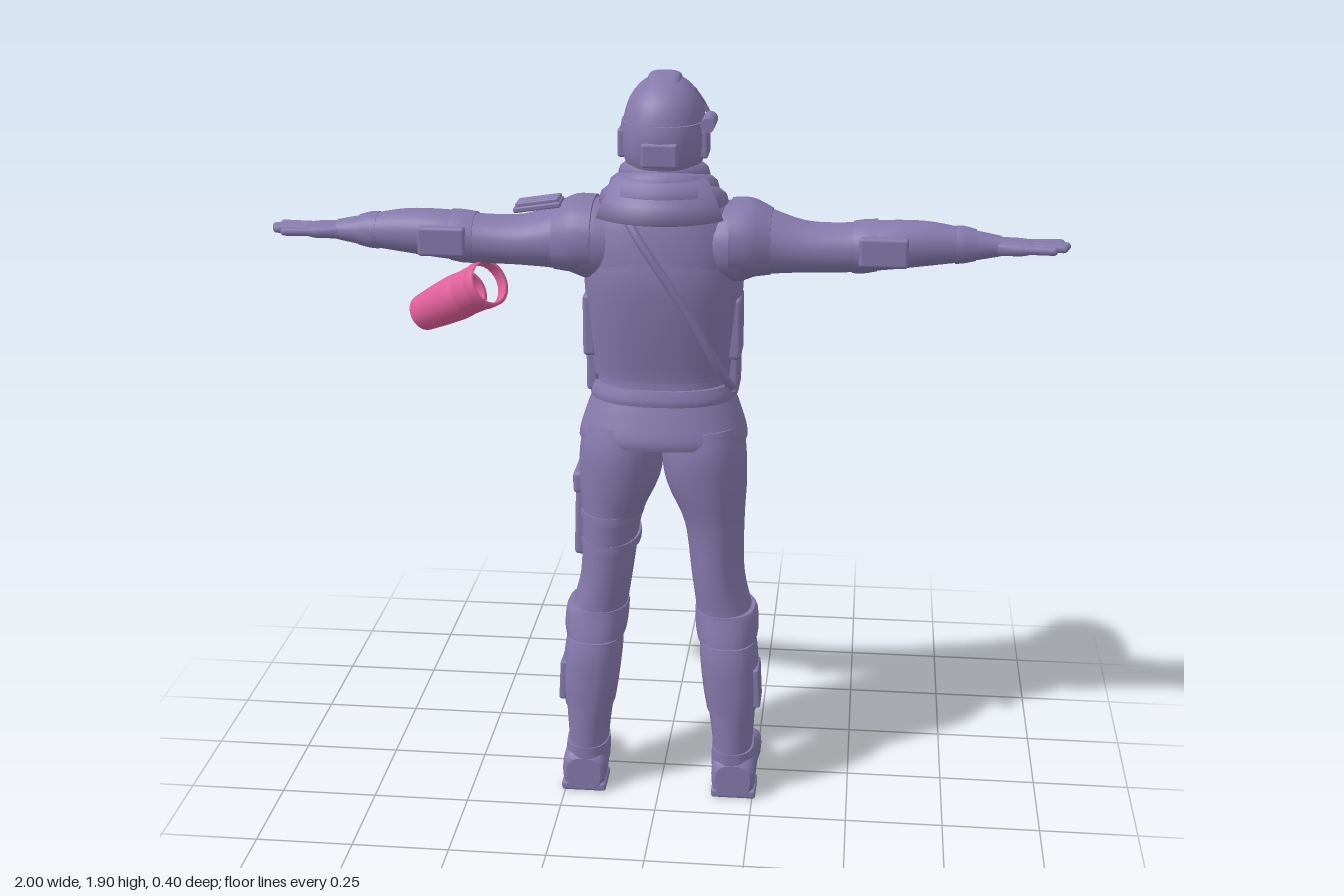
import * as THREE from 'three';
import { mergeVertices } from 'three/addons/utils/BufferGeometryUtils.js';
import { RoundedBoxGeometry } from 'three/addons/geometries/RoundedBoxGeometry.js';

const V = (x, y, z) => new THREE.Vector3(x, y, z);

// Smooth capped loft along an axis. Rows: [along, centreU, centreV, radiusU, radiusV];
// U,V are x,z for axis y; y,z for axis x; x,y for axis z. Rows run in rising order.
function loft(axis, rows, p = 2.2, n = 28, steps = 4) {
  const sections = [];
  for (let i = 0; i < rows.length - 1; i++) {
    const [a, b, c, d] = [-1, 0, 1, 2].map(k => rows[Math.min(Math.max(i + k, 0), rows.length - 1)]);
    for (let s = 0; s < steps; s++) {
      const t = s / steps;
      sections.push(b.map((q, k) => {
        const m0 = (c[k] - a[k]) / 2, m1 = (d[k] - q) / 2;
        return q + m0 * t + (3 * (c[k] - q) - 2 * m0 - m1) * t * t + (2 * (q - c[k]) + m0 + m1) * t * t * t;
      }));
    }
  }
  sections.push(rows[rows.length - 1]);
  const pos = [], idx = [];
  const put = (t, u, v) => pos.push(...(axis === 'y' ? [u, t, v] : axis === 'x' ? [t, u, v] : [u, v, t]));
  const pow = c => Math.sign(c) * Math.abs(c) ** (2 / p);
  const ring = ([t, cu, cv, ru, rv]) => {
    for (let i = 0; i < n; i++) {
      const a = i / n * Math.PI * 2, c = pow(Math.cos(a)), s = pow(Math.sin(a));
      if (axis === 'y') put(t, cu + ru * s, cv + rv * c);
      else put(t, cu + ru * c, cv + rv * s);
    }
  };
  sections.forEach(ring);
  for (let j = 0; j < sections.length - 1; j++) for (let i = 0; i < n; i++) {
    const a = j * n + i, b = j * n + (i + 1) % n;
    idx.push(a, b, b + n, a, b + n, a + n);
  }
  for (const end of [0, 1]) {
    const s = sections[end ? sections.length - 1 : 0], base = pos.length / 3;
    ring(s);
    put(s[0], s[1], s[2]);
    for (let i = 0; i < n; i++) {
      const a = base + i, b = base + (i + 1) % n;
      idx.push(...(end ? [a, b, base + n] : [b, a, base + n]));
    }
  }
  const g = new THREE.BufferGeometry();
  g.setAttribute('position', new THREE.Float32BufferAttribute(pos, 3));
  g.setIndex(idx);
  g.computeVertexNormals();
  return g;
}

// Mirror a geometry across x, keeping faces outward
function mirror(geo) {
  const g = geo.index ? geo.clone() : mergeVertices(geo);
  g.scale(-1, 1, 1);
  const a = g.index.array;
  for (let i = 0; i < a.length; i += 3) [a[i], a[i + 1]] = [a[i + 1], a[i]];
  return g;
}

const box = (w, h, d, x, y, z, rx = 0, ry = 0, rz = 0) =>
  new RoundedBoxGeometry(w, h, d, 2, Math.min(w, h, d) * 0.3)
    .rotateX(rx).rotateY(ry).rotateZ(rz).translate(x, y, z);
const tube = (pts, r, closed = false) =>
  new THREE.TubeGeometry(new THREE.CatmullRomCurve3(pts, closed), 40, r, 8, closed);
const arc = (profile, start, length, sx = 1) =>
  new THREE.LatheGeometry(profile.map(q => new THREE.Vector2(...q)), 24, start, length).scale(sx, 1, 1);
// Rounded finger between two points
function finger(a, b, r) {
  const d = b.clone().sub(a), g = new THREE.CapsuleGeometry(r, d.length(), 4, 10);
  g.applyQuaternion(new THREE.Quaternion().setFromUnitVectors(V(0, 1, 0), d.clone().normalize()));
  return g.translate((a.x + b.x) / 2, (a.y + b.y) / 2, (a.z + b.z) / 2);
}

export function createModel() {
  const model = new THREE.Group();
  const suit = new THREE.MeshStandardMaterial({ color: 0x8579ab, side: THREE.DoubleSide });
  suit.name = 'dusty purple';
  const pink = new THREE.MeshStandardMaterial({ color: 0xe0609a, side: THREE.DoubleSide });
  pink.name = 'pink';
  const add = (name, geo, mat = suit, parent = model) => {
    const m = new THREE.Mesh(geo, mat);
    m.name = name;
    parent.add(m);
    return m;
  };
  const pair = (name, geo) => {
    add(name + 'Left', geo);
    add(name + 'Right', mirror(geo));
  };

  // Jacket with flared hem, and the vest over it
  add('jacket', loft('y', [
    [0.975, 0, 0.02, 0.216, 0.153], [1.0, 0, 0.02, 0.212, 0.155], [1.06, 0, 0.013, 0.192, 0.143],
    [1.12, 0, 0.008, 0.17, 0.13], [1.2, 0, 0, 0.178, 0.138], [1.3, 0, 0.002, 0.188, 0.157],
    [1.42, 0, 0.003, 0.198, 0.166], [1.5, 0, 0.012, 0.195, 0.15], [1.57, 0, 0.02, 0.165, 0.125],
    [1.63, 0, 0.01, 0.105, 0.1], [1.68, 0, 0, 0.075, 0.08]], 2.4, 40));
  add('vest', loft('y', [
    [1.145, 0, 0, 0.181, 0.14], [1.18, 0, 0, 0.184, 0.144], [1.3, 0, 0.002, 0.194, 0.162],
    [1.4, 0, 0.003, 0.2, 0.17], [1.47, 0, 0.008, 0.19, 0.158]], 2.4, 40));
  add('belt', loft('y', [[1.085, 0, 0.01, 0.186, 0.142], [1.1, 0, 0.01, 0.186, 0.143], [1.125, 0, 0.008, 0.178, 0.138]], 2.4, 40));
  add('chestStrap', tube([V(-0.07, 1.55, 0.147), V(0.07, 1.34, 0.166), V(0.175, 1.13, 0.09), V(0.16, 1.14, -0.09),
    V(0.04, 1.36, -0.164), V(-0.08, 1.52, -0.125), V(-0.11, 1.6, 0.02)], 0.011, true));

  // Pouches on chest, flanks and hip
  for (let i = 0; i < 3; i++) {
    const x = 0.13 - i * 0.06;
    add('chestPouch', box(0.05, 0.16, 0.045, x, 1.27, -0.158 + x * 0.15, -0.13, -0.25));
    add('chestPouchFlap', box(0.054, 0.045, 0.05, x, 1.34, -0.169 + x * 0.15, -0.13, -0.25));
  }
  pair('flankPouch', box(0.035, 0.16, 0.11, 0.182, 1.27, 0.02));
  pair('hipPouch', box(0.03, 0.1, 0.12, 0.178, 1.145, 0.0));
  add('frontPouch', box(0.16, 0.07, 0.03, 0, 1.07, -0.13));

  // Scarf rolls and the pointed fold at the back
  const roll = (R, r, y, z, tilt) => new THREE.TorusGeometry(R, r, 10, 36)
    .rotateX(Math.PI / 2).scale(1, 1.1, 1).rotateX(tilt).translate(0, y, z);
  add('scarfLower', roll(0.128, 0.034, 1.58, 0.015, -0.3));
  add('scarfMiddle', roll(0.108, 0.03, 1.615, 0.01, -0.24));
  add('scarfUpper', roll(0.088, 0.026, 1.65, 0.005, -0.18));
  add('scarfBackFold', arc([[0.1, 1.665], [0.15, 1.65], [0.18, 1.6], [0.2, 1.56], [0.16, 1.55]], -0.9, 1.8));

  // Helmet: dome, jaw, brim, visor, ear gear
  add('helmetDome', loft('y', [
    [1.655, 0, 0.01, 0.082, 0.095], [1.7, 0, 0.005, 0.1, 0.117], [1.76, 0, 0.0, 0.103, 0.126],
    [1.82, 0, -0.005, 0.092, 0.116], [1.86, 0, -0.01, 0.068, 0.088],
    [1.884, 0, -0.012, 0.036, 0.048], [1.893, 0, -0.012, 0.002, 0.003]], 2.2, 32));
  add('helmetJaw', loft('y', [
    [1.615, 0, -0.075, 0.05, 0.065], [1.65, 0, -0.062, 0.076, 0.085], [1.7, 0, -0.05, 0.094, 0.095],
    [1.725, 0, -0.05, 0.096, 0.092]], 2.4));
  add('visor', arc([[0.13, 1.71], [0.15, 1.715], [0.158, 1.755], [0.145, 1.8]], Math.PI - 0.85, 1.7, 0.78));
  add('helmetBrim', arc([[0.085, 1.868], [0.125, 1.845], [0.16, 1.81], [0.183, 1.782], [0.175, 1.778], [0.11, 1.81]],
    Math.PI - 0.9, 1.8, 0.72));
  add('helmetRidge', loft('z', [[-0.09, 0, 1.845, 0.032, 0.018], [-0.04, 0, 1.875, 0.04, 0.02],
    [0.02, 0, 1.872, 0.04, 0.02], [0.09, 0, 1.82, 0.032, 0.02]], 3));
  add('helmetBand', loft('y', [[1.765, 0, 0.004, 0.106, 0.13], [1.785, 0, 0.003, 0.104, 0.127]], 2.2, 32, 1));
  pair('earCup', box(0.022, 0.07, 0.085, 0.1, 1.73, 0.01));
  add('headLamp', new THREE.CylinderGeometry(0.018, 0.018, 0.1, 14).rotateX(Math.PI / 2).translate(0.112, 1.782, 0.03));
  add('rearHelmetPad', box(0.09, 0.06, 0.025, 0, 1.715, 0.117));
  pair('mouthVent', box(0.03, 0.035, 0.02, 0.035, 1.665, -0.137, 0, -0.3));

  // Arms, pads and cuffs
  pair('arm', loft('x', [
    [0.1, 1.48, 0.02, 0.09, 0.11], [0.18, 1.485, 0.02, 0.1, 0.122], [0.25, 1.488, 0.02, 0.082, 0.105],
    [0.35, 1.477, 0.025, 0.062, 0.085], [0.45, 1.478, 0.03, 0.06, 0.073], [0.55, 1.488, 0.035, 0.06, 0.07],
    [0.65, 1.493, 0.03, 0.054, 0.06], [0.75, 1.489, 0.02, 0.039, 0.047], [0.83, 1.487, 0.012, 0.024, 0.036]]));
  pair('shoulderPad', loft('x', [[0.17, 1.497, 0.025, 0.094, 0.125], [0.22, 1.497, 0.025, 0.094, 0.12],
    [0.27, 1.488, 0.024, 0.08, 0.1]], 2.3));
  pair('elbowPad', box(0.12, 0.075, 0.03, 0.545, 1.485, 0.1));
  pair('foldedSleeve', loft('x', [[0.47, 1.48, 0.031, 0.063, 0.076], [0.5, 1.483, 0.033, 0.065, 0.077],
    [0.53, 1.487, 0.034, 0.063, 0.074]]));
  pair('gloveCuff', loft('x', [[0.72, 1.49, 0.022, 0.046, 0.054], [0.74, 1.49, 0.02, 0.045, 0.053],
    [0.77, 1.489, 0.018, 0.038, 0.046]]));
  add('shoulderPlate', box(0.12, 0.014, 0.075, -0.31, 1.568, 0.035, 0, 0, 0.15));
  for (let i = -1; i < 2; i++)
    add('shoulderPlateRib', box(0.11, 0.014, 0.014, -0.31, 1.578, 0.035 + i * 0.024, 0, 0, 0.15));

  // Hands
  pair('palm', loft('x', [[0.8, 1.486, 0.012, 0.024, 0.034], [0.84, 1.486, 0.012, 0.02, 0.042],
    [0.88, 1.486, 0.014, 0.018, 0.046], [0.905, 1.487, 0.014, 0.013, 0.045]], 2.6));
  [0.978, 0.99, 0.982, 0.955].forEach((tip, i) => {
    const z = -0.021 + i * 0.024;
    pair('finger' + (i + 1), finger(V(0.89, 1.487, z), V(tip, 1.488, z * 1.15), 0.0105));
  });
  pair('thumb', finger(V(0.82, 1.48, -0.012), V(0.88, 1.458, -0.078), 0.013));

  // Legs, knee and shin guards, boots
  pair('leg', loft('y', [
    [0.07, 0.195, 0.1, 0.05, 0.068], [0.13, 0.193, 0.093, 0.052, 0.078], [0.22, 0.19, 0.09, 0.06, 0.083],
    [0.32, 0.184, 0.088, 0.07, 0.085], [0.4, 0.178, 0.077, 0.072, 0.092], [0.48, 0.17, 0.058, 0.074, 0.09],
    [0.6, 0.146, 0.04, 0.068, 0.11], [0.75, 0.134, 0.024, 0.078, 0.13], [0.86, 0.113, 0.028, 0.104, 0.138],
    [0.95, 0.105, 0.03, 0.108, 0.14], [1.02, 0.1, 0.025, 0.1, 0.13]], 2.2));
  pair('kneeGuard', loft('y', [[0.435, 0.174, 0.068, 0.078, 0.099], [0.46, 0.173, 0.062, 0.082, 0.1],
    [0.5, 0.17, 0.056, 0.082, 0.096], [0.515, 0.167, 0.055, 0.078, 0.094]], 2.4));
  pair('shinGuard', loft('y', [[0.24, 0.189, 0.088, 0.066, 0.088], [0.3, 0.186, 0.088, 0.073, 0.089],
    [0.38, 0.18, 0.08, 0.076, 0.095], [0.43, 0.176, 0.072, 0.073, 0.094]], 2.4));
  pair('calfPlate', box(0.02, 0.11, 0.09, 0.254, 0.31, 0.095, 0, 0, 0.05));
  pair('bootCuff', loft('y', [[0.07, 0.196, 0.097, 0.058, 0.075], [0.1, 0.195, 0.095, 0.058, 0.077],
    [0.13, 0.194, 0.093, 0.056, 0.08]], 2.4));
  pair('boot', loft('z', [
    [-0.125, 0.216, 0.028, 0.018, 0.018], [-0.108, 0.215, 0.034, 0.042, 0.034], [-0.04, 0.208, 0.043, 0.053, 0.043],
    [0.02, 0.203, 0.058, 0.054, 0.058], [0.1, 0.199, 0.065, 0.058, 0.065], [0.155, 0.199, 0.058, 0.058, 0.058],
    [0.172, 0.199, 0.052, 0.046, 0.045]], 2.7));
  pair('heelSole', box(0.118, 0.025, 0.1, 0.2, 0.0125, 0.12));

  // Thigh pouch with straps on the right leg
  add('thighPouch', box(0.035, 0.22, 0.13, -0.207, 0.76, 0.02, 0, 0, -0.03));
  add('thighPouchFlap', box(0.04, 0.06, 0.135, -0.209, 0.85, 0.02));
  for (const [y, x, rx, rz] of [[0.76, -0.133, 0.082, 0.134], [0.68, -0.137, 0.078, 0.126]])
    add('thighStrap', loft('y', [[y, x, 0.027, rx, rz], [y + 0.022, x, 0.026, rx, rz]], 2.2, 28, 1));

  // Loose forearm guard: hollow sleeve, back bridge and upper strap
  const guard = new THREE.Group();
  guard.name = 'forearmGuard';
  guard.position.set(-0.45, 1.35, -0.015);
  guard.lookAt(-0.655, 1.225, -0.145);
  model.add(guard);
  const shell = (name, profile, start, length) =>
    add(name, arc(profile, start, length).rotateX(Math.PI / 2), pink, guard);
  shell('guardSleeve', [[0.05, 0.08], [0.058, 0.08], [0.06, 0.13], [0.055, 0.2], [0.048, 0.27], [0.042, 0.27], [0.05, 0.08]], 0, Math.PI * 2);
  shell('guardBridge', [[0.052, 0.02], [0.06, 0.02], [0.058, 0.09], [0.05, 0.09]], 0, Math.PI);
  shell('guardStrap', [[0.054, 0], [0.062, 0], [0.062, 0.03], [0.054, 0.03], [0.054, 0]], 0, Math.PI * 2);
  return model;
}
